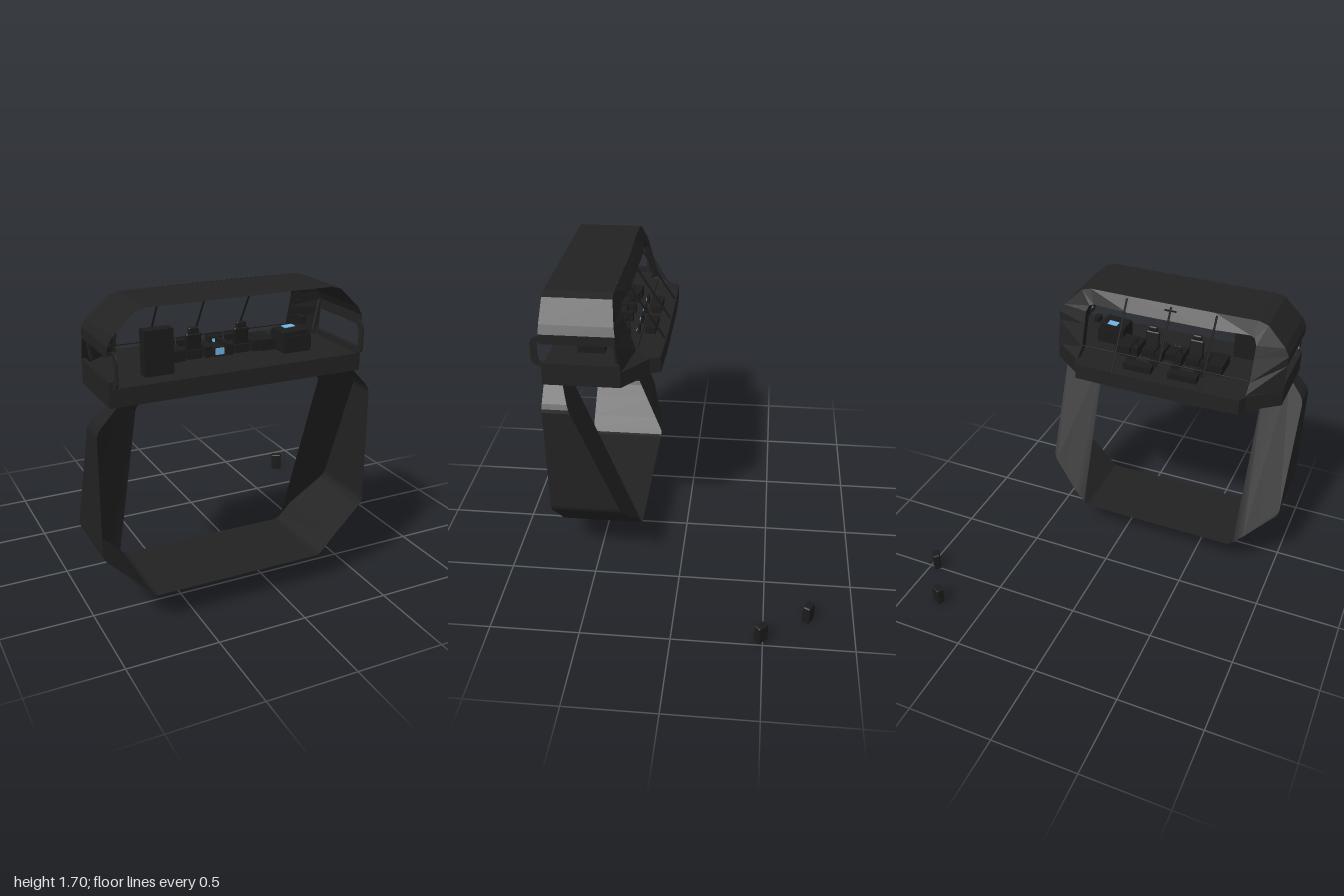
import * as THREE from 'three';
import { RoundedBoxGeometry } from 'three/addons/geometries/RoundedBoxGeometry.js';

export function createModel() {
  const root = new THREE.Group();
  const mat = (name, color) => {
    const m = new THREE.MeshStandardMaterial({ color, side: THREE.DoubleSide });
    m.name = name;
    return m;
  };
  const shell = mat('shell charcoal', 0x222222);
  const inner = mat('fitting black', 0x1b1b1b);
  const blue = mat('screen blue', 0x6fb4e4);

  // Everything but the two loose units is symmetric about x = -0.245
  const ship = new THREE.Group();
  ship.name = 'ship';
  ship.position.x = -0.245;
  root.add(ship);

  const add = (name, geo, material, parent = ship) => {
    const m = new THREE.Mesh(geo, material);
    m.name = name;
    parent.add(m);
    return m;
  };
  const box = (name, x, y, z, w, h, d, material = inner) => {
    const m = add(name, new THREE.BoxGeometry(w, h, d), material);
    m.position.set(x, y, z);
    return m;
  };
  // Mirror a half outline (centre to outside order) into a full one
  const mirror = pts => [...pts.map(([x, ...r]) => [-x, ...r]), ...pts.slice().reverse()];
  // Faceted sheet between two matching rows of points
  const sheet = (a, b) => {
    const pos = [];
    for (let i = 0; i < a.length - 1; i++)
      pos.push(...a[i], ...b[i], ...a[i + 1], ...a[i + 1], ...b[i], ...b[i + 1]);
    const g = new THREE.BufferGeometry();
    g.setAttribute('position', new THREE.Float32BufferAttribute(pos, 3));
    g.computeVertexNormals();
    return g;
  };
  const rod = (name, a, b, r, material = inner) => {
    const path = new THREE.LineCurve3(new THREE.Vector3(...a), new THREE.Vector3(...b));
    return add(name, new THREE.TubeGeometry(path, 1, r, 6), material);
  };

  // Lower ring: thin band whose rear edge slants back towards the bottom
  const rearZ = y => Math.max(0.25, 0.6 - (1.155 - y) * 0.392);
  const ringHalf = [[0.65, 1.235], [0.735, 1.145], [0.75, 1.12], [0.755, 1.1], [0.755, 0.48],
    [0.75, 0.46], [0.735, 0.435], [0.68, 0.38], [0.57, 0.27], [0.51, 0.205], [0.49, 0.186], [0.47, 0.18]];
  const ring = mirror(ringHalf);
  add('ringBand', sheet(ring.map(([x, y]) => [x, y, 0.73]), ring.map(([x, y]) => [x, y, rearZ(y)])), shell);

  // Slanted portal panel closing the rear of the ring's legs
  const portal = new THREE.Shape();
  ringHalf.slice(0, 10).forEach(([x, y], i) => i ? portal.lineTo(x, y) : portal.moveTo(x, y));
  portal.lineTo(0.515, 1.15);
  portal.quadraticCurveTo(0.515, 1.2, 0.465, 1.2);
  portal.lineTo(-0.465, 1.2);
  portal.quadraticCurveTo(-0.515, 1.2, -0.515, 1.15);
  ringHalf.slice(0, 10).reverse().forEach(([x, y]) => portal.lineTo(-x, y));
  const panel = new THREE.ShapeGeometry(portal, 6);
  const pp = panel.attributes.position;
  for (let i = 0; i < pp.count; i++) pp.setZ(i, rearZ(pp.getY(i)));
  panel.computeVertexNormals();
  add('portalPanel', panel, shell);

  // Cabin floor hull, extruded upwards from its plan
  const plan = mirror([[0.685, 0.73], [0.685, 0.31], [0.515, 0.175], [0.49, 0.12], [0.25, 0.112]]);
  const hull = new THREE.ExtrudeGeometry(
    new THREE.Shape(plan.map(([x, z]) => new THREE.Vector2(x, -z))), { depth: 0.092, bevelEnabled: false });
  hull.rotateX(-Math.PI / 2);
  add('floorHull', hull, shell).position.y = 1.235;

  // Roof and upper walls, open to the front
  const roof = mirror([[0.685, 1.475], [0.685, 1.53], [0.66, 1.575], [0.55, 1.68], [0.495, 1.695]]);
  const roofZ = y => 0.33 + Math.max(0, y - 1.53) * 0.18;
  add('roofShell', sheet(roof.map(([x, y]) => [x, y, 0.73]), roof.map(([x, y]) => [x, y, roofZ(y)])), shell);

  // Rear surround lofted from the roof rim in to the windscreen opening
  const rim = mirror([[0.685, 1.32, 0.31], [0.685, 1.475, 0.33], [0.685, 1.53, 0.33],
    [0.66, 1.575, 0.338], [0.55, 1.68, 0.357], [0.495, 1.695, 0.36], [0.25, 1.695, 0.355]]);
  const open = mirror([[0.505, 1.325, 0.18], [0.505, 1.37, 0.25], [0.505, 1.5, 0.29],
    [0.505, 1.57, 0.31], [0.49, 1.605, 0.325], [0.465, 1.615, 0.33], [0.25, 1.615, 0.31]]);
  add('windscreenSurround', sheet(rim, open), shell);
  const lip = open.map(([x, y, z]) => [x * 0.985, y - 0.006, z + 0.03]);
  add('windscreenLip', sheet(open, lip), inner);

  for (const s of [-1, 1]) {
    // Low wall below the side window, and the rail wrapping its front end
    box('sideSill', s * 0.675, 1.34, 0.52, 0.02, 0.045, 0.42, shell);
    const rail = new THREE.Shape();
    rail.moveTo(0.73, 1.335);
    rail.quadraticCurveTo(0.785, 1.335, 0.785, 1.38);
    rail.lineTo(0.785, 1.46);
    rail.quadraticCurveTo(0.785, 1.505, 0.73, 1.51);
    rail.lineTo(0.73, 1.475);
    rail.quadraticCurveTo(0.75, 1.475, 0.75, 1.45);
    rail.lineTo(0.75, 1.385);
    rail.quadraticCurveTo(0.75, 1.362, 0.73, 1.362);
    const g = new THREE.ExtrudeGeometry(rail, { depth: 0.008, bevelEnabled: false });
    g.rotateY(-Math.PI / 2);
    add('sideRail', g, shell).position.x = s * 0.66 + 0.004;
    // Ribs inside the rear pillars
    for (let i = 0; i < 6; i++)
      box('pillarRib', s * 0.54, 1.36 + i * 0.042, 0.29 + i * 0.008, 0.04, 0.012, 0.02);
    rod('cornerStrut', [s * 0.64, 1.36, 0.33], [s * 0.67, 1.53, 0.34], 0.01, shell);
  }

  // Windscreen bars and roof lamp
  for (const x of [-0.265, 0, 0.265])
    rod('windscreenBar', [x, 1.685, 0.345], [x, 1.325, 0.122], 0.006);
  rod('crossWire', [-0.5, 1.385, 0.24], [0.5, 1.385, 0.24], 0.003);
  box('roofLamp', 0, 1.66, 0.35, 0.07, 0.016, 0.03);

  // Two pilot seats with their consoles
  for (const s of [-1, 1]) {
    const x = s * 0.135;
    box('seatBase', x, 1.35, 0.41, 0.08, 0.045, 0.1);
    const back = add('seatBack', new RoundedBoxGeometry(0.085, 0.1, 0.025, 2, 0.01), inner);
    back.position.set(x, 1.412, 0.435);
    back.rotation.x = 0.12;
    const head = add('headrest', new RoundedBoxGeometry(0.055, 0.035, 0.022, 2, 0.009), inner);
    head.position.set(x, 1.475, 0.44);
    for (const a of [-1, 1]) {
      box('armConsole', x + a * 0.075, 1.355, 0.4, 0.04, 0.06, 0.14);
      rod('controlStick', [x + a * 0.065, 1.38, 0.37], [x + a * 0.065, 1.425, 0.36], 0.004);
    }
    box('dashboard', x, 1.345, 0.21, 0.17, 0.04, 0.06);
    for (const a of [-1, 1]) {
      box('dashScreenMount', x + a * 0.07, 1.35, 0.275, 0.05, 0.05, 0.012);
      const sc = box('dashScreen', x + a * 0.07, 1.357, 0.283, 0.04, 0.03, 0.004, blue);
      sc.rotation.x = -0.4;
    }
    box('sideLocker', s * 0.28, 1.355, 0.4, 0.09, 0.06, 0.16);
  }
  box('centreConsole', 0, 1.35, 0.42, 0.065, 0.05, 0.1);
  box('centreScreen', 0, 1.355, 0.473, 0.048, 0.035, 0.005, blue);

  // Tall cabinet and the work station opposite
  box('tallCabinet', -0.395, 1.44, 0.6, 0.15, 0.23, 0.065);
  box('workStation', 0.4, 1.37, 0.5, 0.16, 0.09, 0.15);
  const desk = box('stationTop', 0.395, 1.425, 0.5, 0.15, 0.025, 0.13);
  desk.rotation.z = 0.06;
  box('stationScreen', 0.4, 1.441, 0.47, 0.06, 0.004, 0.045, blue).rotation.z = 0.06;
  box('wallPanel', 0.49, 1.465, 0.45, 0.03, 0.035, 0.05);

  // Two loose units standing behind
  for (const [x, z, turn] of [[0.785, -0.748, -0.5], [0.96, -0.49, -0.85]]) {
    const u = add('looseUnit', new RoundedBoxGeometry(0.066, 0.11, 0.045, 2, 0.009), inner, root);
    u.position.set(x, 0.055, z);
    u.rotation.y = turn;
  }
  return root;
}
